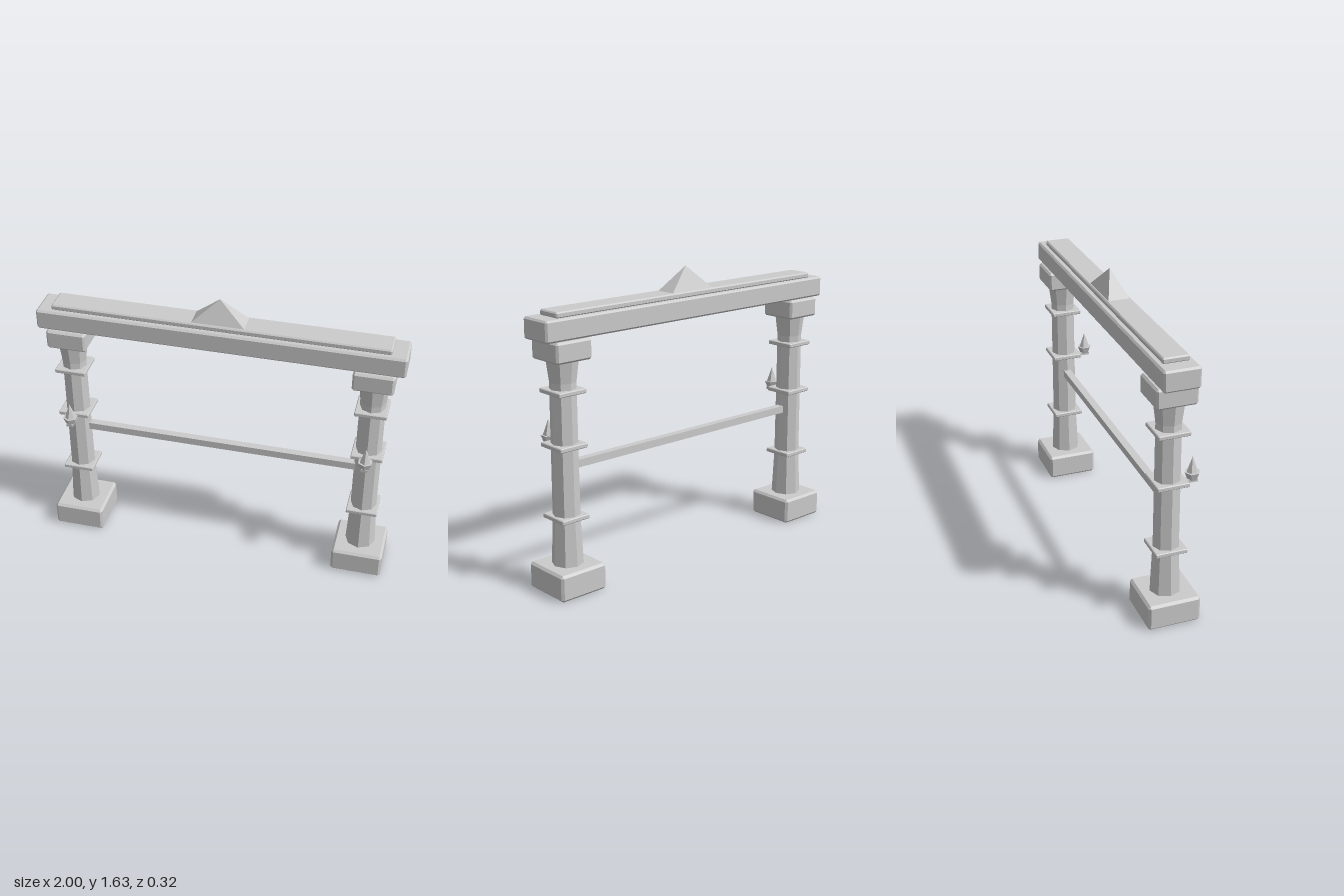
import * as THREE from 'three';
import { ConvexGeometry } from 'three/addons/geometries/ConvexGeometry.js';

const Z = -0.016; // depth of the main frame's centre line
const material = new THREE.MeshStandardMaterial({ color: 0xcccccc, flatShading: true });

function part(parent, name, geometry, x, y, z) {
  const mesh = new THREE.Mesh(geometry, material);
  mesh.name = name;
  mesh.position.set(x, y, z);
  parent.add(mesh);
  return mesh;
}

// Box with every edge cut at 45 degrees by c
function chamferBox(w, h, d, c) {
  const points = [];
  for (const sx of [-1, 1]) for (const sy of [-1, 1]) for (const sz of [-1, 1]) {
    for (let axis = 0; axis < 3; axis++) {
      const inset = [c, c, c];
      inset[axis] = 0;
      points.push(new THREE.Vector3(
        sx * (w / 2 - inset[0]), sy * (h / 2 - inset[1]), sz * (d / 2 - inset[2])));
    }
  }
  return new ConvexGeometry(points);
}

function createPillar() {
  const pillar = new THREE.Group();
  part(pillar, 'base', chamferBox(0.29, 0.146, 0.29, 0.013), 0, 0.073, Z);

  // Octagonal shaft, wider at the foot and flared under the capital
  const profile = [[0.085, 0.14], [0.073, 0.41], [0.07, 1.13], [0.086, 1.255]]
    .map(([r, y]) => new THREE.Vector2(r, y));
  part(pillar, 'shaft', new THREE.LatheGeometry(profile, 8), 0, 0, Z);

  for (const y of [0.407, 0.795, 1.083]) {
    part(pillar, 'band', chamferBox(0.174, 0.024, 0.174, 0.004), 0, y, Z);
  }
  part(pillar, 'capital', chamferBox(0.22, 0.11, 0.22, 0.011), 0, 1.302, Z);

  // Lantern on a bracket in front of the shaft
  const lantern = new THREE.Group();
  lantern.name = 'lantern';
  part(lantern, 'bracket', new THREE.BoxGeometry(0.036, 0.016, 0.11), 0, 0.773, 0.09);
  part(lantern, 'bowl', new THREE.CylinderGeometry(0.042, 0.026, 0.042, 6), 0, 0.797, 0.12);
  part(lantern, 'flame', new THREE.ConeGeometry(0.033, 0.092, 6), 0, 0.858, 0.12);
  pillar.add(lantern);
  return pillar;
}

export function createModel() {
  const gate = new THREE.Group();
  gate.name = 'gate';

  for (const side of [-1, 1]) {
    const pillar = createPillar();
    pillar.name = side > 0 ? 'leftPillar' : 'rightPillar';
    pillar.position.x = side * 0.838;
    gate.add(pillar);
  }

  // Beams across the pillars
  part(gate, 'rail', new THREE.BoxGeometry(1.56, 0.042, 0.042), 0, 0.681, Z);
  part(gate, 'lintel', chamferBox(2, 0.114, 0.195, 0.01), 0, 1.415, Z);
  part(gate, 'topPlate', chamferBox(1.834, 0.032, 0.142, 0.007), 0, 1.486, Z);

  // Four-sided peak in the middle
  const peak = new THREE.ConeGeometry(Math.SQRT1_2, 1, 4);
  peak.rotateY(Math.PI / 4);
  peak.scale(0.29, 0.13, 0.118);
  part(gate, 'peak', peak, 0, 1.565, Z);

  return gate;
}
